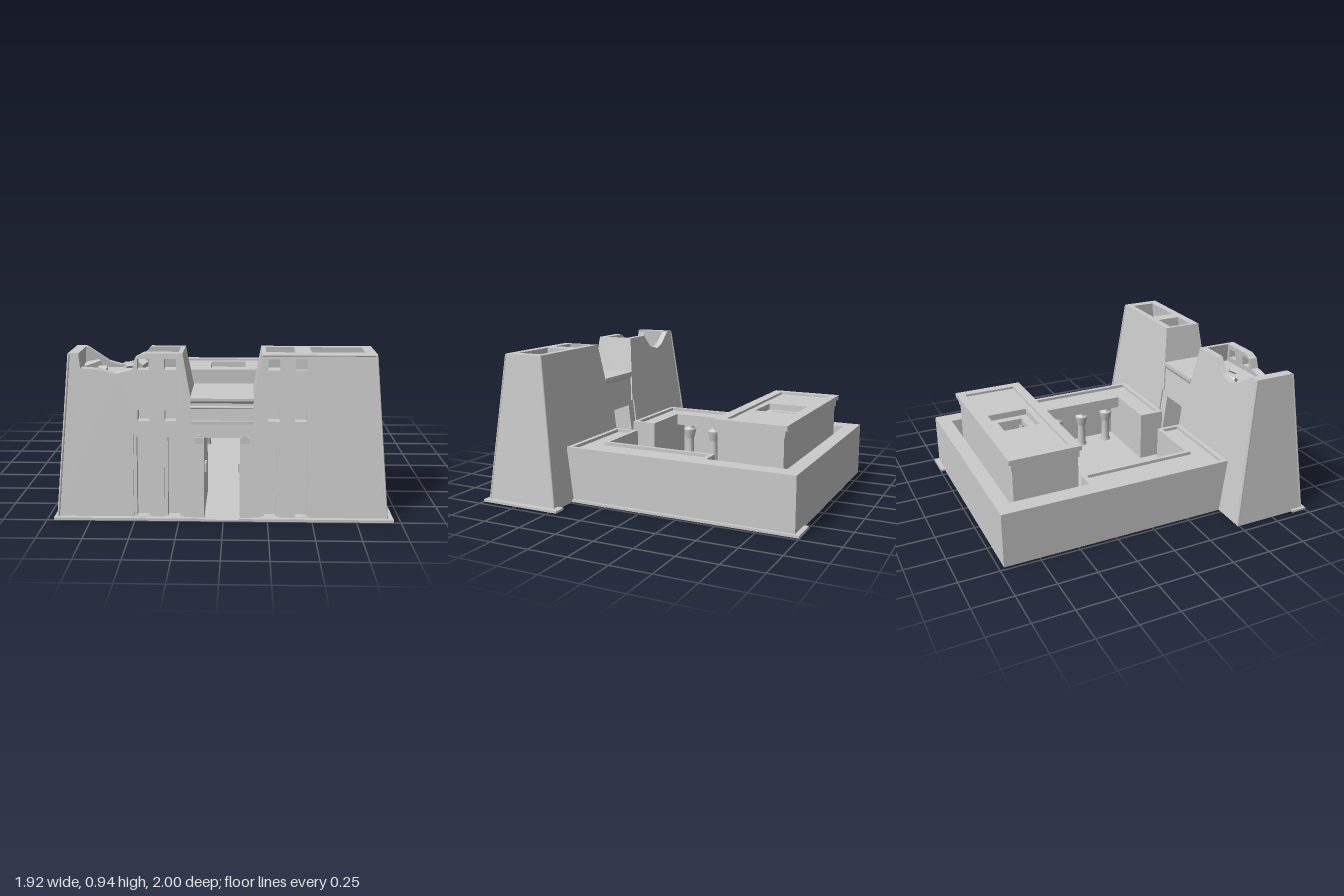
import * as THREE from 'three';

const mat = new THREE.MeshStandardMaterial({ color: 0xcccccc, side: THREE.DoubleSide, flatShading: true });
const smooth = new THREE.MeshStandardMaterial({ color: 0xcccccc, side: THREE.DoubleSide });
const V = (x, y, z) => new THREE.Vector3(x, y, z);
const H = 0.935; // tower height
const lerp = (a, b) => y => a + (b - a) * y / H;
const frontZ = lerp(0.975, 0.86), backZ = lerp(0.49, 0.602);
const outerX = lerp(0.935, 0.858);
const innerX = y => 0.175 + 0.176 * (y - 0.68);

function add(parent, name, geo, material = mat) {
  const m = new THREE.Mesh(geo, material);
  m.name = name;
  parent.add(m);
  return m;
}
function box(parent, name, x0, x1, y0, y1, z0, z1) {
  const g = new THREE.BoxGeometry(x1 - x0, y1 - y0, z1 - z0);
  return add(parent, name, g.translate((x0 + x1) / 2, (y0 + y1) / 2, (z0 + z1) / 2));
}
const rect = (x0, x1, y0, y1) => [[x0, y0], [x1, y0], [x1, y1], [x0, y1]];
function shapeOf(pts, holes = []) {
  const s = new THREE.Shape(pts.map(p => new THREE.Vector2(...p)));
  s.holes = holes.map(h => new THREE.Path(h.map(p => new THREE.Vector2(...p))));
  return s;
}
// Upright wall whose two faces lean by functions of height
function wallGeo(pts, holes, front, back) {
  const g = new THREE.ExtrudeGeometry(shapeOf(pts, holes), { depth: 1, bevelEnabled: false });
  const p = g.attributes.position;
  for (let i = 0; i < p.count; i++) p.setZ(i, (p.getZ(i) > 0.5 ? front : back)(p.getY(i)));
  g.computeVertexNormals();
  return g;
}
// Horizontal slab from an outline in x, z
function slab(parent, name, pts, holes, y0, y1) {
  const f = l => l.map(([x, z]) => [x, -z]);
  const g = new THREE.ExtrudeGeometry(shapeOf(f(pts), holes.map(f)), { depth: y1 - y0, bevelEnabled: false });
  return add(parent, name, g.rotateX(-Math.PI / 2).translate(0, y0, 0));
}
function bar(parent, name, a, b, r) {
  const d = b.clone().sub(a);
  const m = add(parent, name, new THREE.CylinderGeometry(r, r, d.length(), 8), smooth);
  m.position.copy(a).add(b).multiplyScalar(0.5);
  m.quaternion.setFromUnitVectors(V(0, 1, 0), d.normalize());
}
function column(parent, name, x, z, top, r) {
  const prof = [[r * 1.2, 0], [r * 1.2, 0.02], [r, 0.025], [r * 0.9, top - 0.11], [r * 1.1, top - 0.09],
    [r * 1.55, top - 0.035], [r * 1.45, top - 0.025], [r * 0.9, top - 0.02], [r * 0.9, top]];
  const g = new THREE.LatheGeometry(prof.map(p => new THREE.Vector2(...p)), 14);
  add(parent, name, g, smooth).position.set(x, 0, z);
}

// One gate tower; s is the side, tops are the silhouettes of the two long walls
function tower(root, s, frontTop, backTop) {
  const g = new THREE.Group();
  g.name = s > 0 ? 'leftTower' : 'rightTower';
  root.add(g);
  const side = l => l.map(([x, y]) => [s * x, y]);
  const xs = (a, b) => s > 0 ? [a, b] : [-b, -a];
  const outline = top => side([[0.165, 0], [0.935, 0], ...top, [0.22, H], [0.165, 0.62]]);
  const holes = [];
  for (const c of [0.29, 0.44]) for (const y of [0.56, 0.845]) holes.push(side(rect(c - 0.033, c + 0.033, y, y + 0.06)));
  for (const c of [0.272, 0.448]) holes.push(side(rect(c - 0.052, c + 0.052, 0.016, 0.487)));
  add(g, 'frontWall', wallGeo(outline(frontTop), holes, frontZ, y => frontZ(y) - 0.055));
  add(g, 'backWall', wallGeo(outline(backTop), [], y => backZ(y) + 0.042, backZ));
  // End walls
  const end = (name, f, t, y0) => {
    const pts = [[-backZ(y0), y0], [-backZ(H), H], [-frontZ(H), H], [-frontZ(y0), y0]];
    const geo = s > 0 ? wallGeo(pts, [], y => Math.max(f(y), f(y) + t), y => Math.min(f(y), f(y) + t))
      : wallGeo(pts, [], y => Math.max(-f(y), -f(y) - t), y => Math.min(-f(y), -f(y) - t));
    add(g, name, geo.rotateY(Math.PI / 2));
  };
  end('outerEndWall', outerX, -0.06, 0);
  end('innerEndWall', innerX, 0.025, 0.5);
  box(g, 'pitFloor', ...xs(0.215, 0.84), 0.79, 0.81, 0.61, 0.845);
  // Flagpole niches with an inner frame
  for (const c of [0.272, 0.448]) {
    const u = [[-0.053, 0], [-0.053, 0.488], [0.053, 0.488], [0.053, 0], [0.034, 0], [0.034, 0.468], [-0.034, 0.468], [-0.034, 0]];
    add(g, 'nicheFrame', wallGeo(side(u.map(([x, y]) => [x + c, y])), [], y => frontZ(y) - 0.012, y => frontZ(y) - 0.05));
    add(g, 'nicheBack', wallGeo(side(rect(c - 0.055, c + 0.055, 0, 0.49)), [], y => frontZ(y) - 0.05, y => frontZ(y) - 0.06));
  }
  for (const c of [0.29, 0.44])
    add(g, 'windowBack', wallGeo(side(rect(c - 0.04, c + 0.04, 0.55, 0.63)), [], y => frontZ(y) - 0.053, y => frontZ(y) - 0.065));
  // Roll mouldings on the outer corners
  for (const f of [frontZ, backZ])
    bar(g, 'cornerRoll', V(s * (outerX(0) - 0.004), 0.01, f(0)), V(s * (outerX(H) - 0.004), H - 0.006, f(H)), 0.007);
  return g;
}

export function createModel() {
  const model = new THREE.Group();
  model.name = 'temple';
  const root = new THREE.Group();
  root.name = 'building';
  root.position.x = -0.008;
  model.add(root);

  // Base ledges
  for (const [x0, x1] of [[-0.96, -0.105], [0.09, 0.96]]) box(model, 'frontLedge', x0, x1, 0, 0.015, 0.9, 1);
  box(model, 'sideLedge', 0.88, 0.96, 0, 0.015, 0.45, 0.95);
  box(model, 'courtLedge', 0.69, 0.73, 0, 0.015, -1, 0.5);
  box(model, 'backLedge', 0.55, 0.73, 0, 0.015, -1, -0.95);

  // Whole tower with two roof pits
  const whole = [[0.858, H]];
  const left = tower(root, 1, whole, whole);
  box(left, 'pitDivider', 0.41, 0.5, 0.79, H, 0.62, 0.84);
  bar(left, 'topRoll', V(0.22, H - 0.007, 0.861), V(0.855, H - 0.007, 0.861), 0.006);

  // Broken tower
  const right = tower(root, -1,
    [[0.858, H], [0.8, 0.925], [0.79, 0.85], [0.7, 0.845], [0.6, 0.82], [0.5, 0.845], [0.485, 0.91], [0.44, H]],
    [[0.858, H], [0.79, 0.93], [0.67, 0.845], [0.6, 0.825], [0.5, 0.85], [0.46, 0.89], [0.42, H]]);
  [[-0.76, 0.82, 0.66, 0.09], [-0.68, 0.82, 0.8, 0.06], [-0.47, 0.85, 0.7, 0.06], [-0.55, 0.82, 0.64, 0.05]].forEach(([x, y, z, r], i) => {
    const m = add(right, 'rubble', new THREE.BoxGeometry(r, r * 0.6, r * 0.8));
    m.position.set(x, y, z);
    m.rotation.set(0.2 * i, 0.5 + i, 0.25);
  });

  // Gateway between the towers
  const gate = new THREE.Group();
  gate.name = 'gateway';
  root.add(gate);
  const portal = [[-0.175, 0], [-0.175, 0.66], [0.175, 0.66], [0.175, 0], [0.1, 0], [0.1, 0.47], [-0.1, 0.47], [-0.1, 0]];
  add(gate, 'portal', wallGeo(portal, [], y => 0.982 - 0.12 * y, y => 0.5 + 0.12 * y));
  const cornice = [[0.57, 0.70], [0.57, 0.675], [0.585, 0.645], [0.89, 0.645], [0.9, 0.665], [0.92, 0.68], [0.945, 0.685], [0.945, 0.70]];
  add(gate, 'cornice', wallGeo(cornice.map(([z, y]) => [-z, y]), [], () => 0.176, () => -0.176).rotateY(Math.PI / 2));
  bar(gate, 'corniceRoll', V(-0.175, 0.64, 0.907), V(0.175, 0.64, 0.907), 0.008);
  box(gate, 'lintelBand', -0.172, 0.172, 0.548, 0.566, 0.88, 0.928);
  for (const s of [-1, 1]) {
    box(gate, 'jambBracket', s * 0.128 - 0.025, s * 0.128 + 0.025, 0.44, 0.475, 0.88, 0.945);
    box(gate, 'jambBracketCap', s * 0.128 - 0.015, s * 0.128 + 0.015, 0.475, 0.488, 0.88, 0.94);
    box(gate, 'hingeBlock', s * 0.097 - 0.008, s * 0.097 + 0.008, 0.265, 0.315, 0.85, 0.92);
  }

  // Court: floor, walls, wing roofs with sunken tops
  const court = new THREE.Group();
  court.name = 'court';
  root.add(court);
  slab(court, 'floor', [[-0.64, -0.92], [0.64, -0.92], [0.64, 0.5], [0.1, 0.5], [0.1, 1], [-0.1, 1], [-0.1, 0.5], [-0.64, 0.5]], [], 0, 0.01);
  const mirror = half => [...half, ...half.map(([x, z]) => [-x, z]).reverse()];
  const roofLine = mirror([[0.718, -0.97], [0.718, 0.53], [0.12, 0.53], [0.12, 0.36], [0.485, 0.36], [0.485, -0.38], [0.61, -0.38], [0.61, -0.88]]);
  const wallLine = mirror([[0.718, -0.97], [0.718, 0.53], [0.12, 0.53], [0.12, 0.36], [0.61, 0.36], [0.61, -0.88]]);
  const sunk = s => [[0.69, -0.35], [0.69, 0.5], [0.145, 0.5], [0.145, 0.385], [0.51, 0.385], [0.51, -0.35]].map(([x, z]) => [s * x, z]);
  slab(court, 'walls', wallLine, [], 0, 0.27);
  slab(court, 'wingRoof', roofLine, [], 0.27, 0.33);
  slab(court, 'parapet', roofLine, [sunk(1), sunk(-1)], 0.33, 0.35);
  for (const s of [-1, 1]) {
    box(court, 'wingEndWall', Math.min(s * 0.485, s * 0.63), Math.max(s * 0.485, s * 0.63), 0, 0.27, -0.38, -0.36);
    for (let i = 0; i < 4; i++) column(court, 'wingColumn', s * 0.52, -0.325 + i * 0.198, 0.27, 0.03);
  }

  // Columned hall at the back
  const hall = new THREE.Group();
  hall.name = 'hall';
  root.add(hall);
  slab(hall, 'hallWalls', [[-0.53, -0.415], [-0.53, -0.83], [0.53, -0.83], [0.53, -0.415], [0.46, -0.415], [0.46, -0.77], [-0.46, -0.77], [-0.46, -0.415]], [], 0, 0.46);
  const well = rect(-0.128, 0.128, -0.76, -0.5);
  slab(hall, 'architrave', rect(-0.53, 0.53, -0.83, -0.415), [well], 0.46, 0.505);
  slab(hall, 'upperBand', rect(-0.537, 0.537, -0.838, -0.41), [well], 0.505, 0.55);
  slab(hall, 'roofRim', rect(-0.547, 0.547, -0.853, -0.397), [rect(-0.49, 0.49, -0.8, -0.46)], 0.55, 0.58);
  slab(hall, 'roofTop', rect(-0.5, 0.5, -0.81, -0.45), [well], 0.54, 0.565);
  slab(hall, 'lightWellStep', rect(-0.135, 0.135, -0.765, -0.495), [rect(-0.08, 0.08, -0.71, -0.55)], 0.49, 0.525);
  for (const s of [-1, 1]) {
    for (const x of [0.15, 0.275, 0.395]) column(hall, 'hallColumn', s * x, -0.437, 0.46, 0.025);
    box(hall, 'screenWall', s * 0.31 - 0.16, s * 0.31 + 0.16, 0, 0.22, -0.45, -0.425);
  }
  return model;
}
